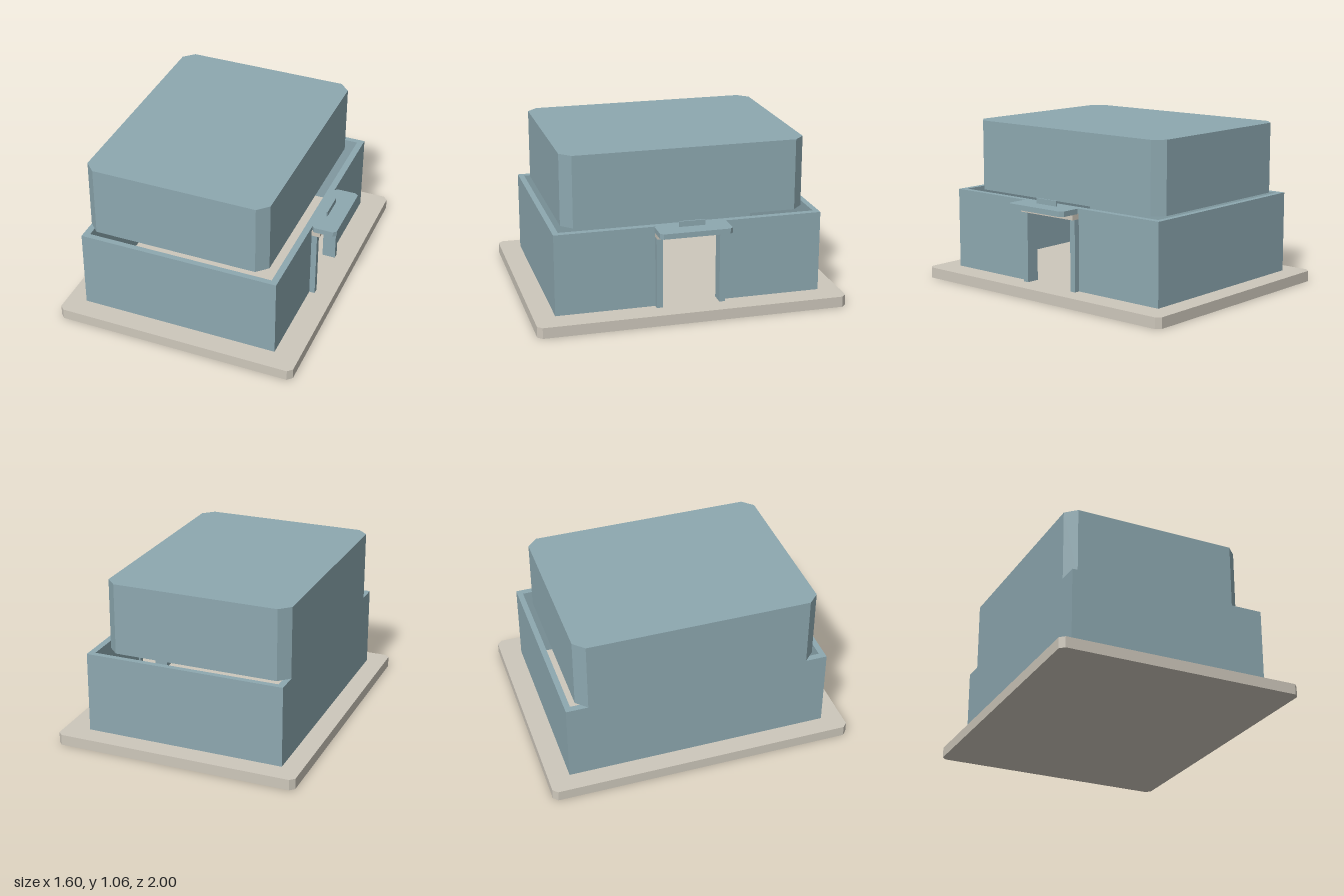
import * as THREE from 'three';

export function createModel() {
  const model = new THREE.Group();
  model.name = 'building';

  const teal = new THREE.MeshStandardMaterial({ color: 0x8da8b0 });
  teal.name = 'blue grey wall';
  const stone = new THREE.MeshStandardMaterial({ color: 0xcdc7bb });
  stone.name = 'warm stone';

  const add = (name, geometry, material) => {
    const mesh = new THREE.Mesh(geometry, material);
    mesh.name = name;
    model.add(mesh);
    return mesh;
  };

  // Box given by its limits on each axis
  const box = (name, material, [x0, x1], [y0, y1], [z0, z1]) =>
    add(name, new THREE.BoxGeometry(x1 - x0, y1 - y0, z1 - z0), material)
      .position.set((x0 + x1) / 2, (y0 + y1) / 2, (z0 + z1) / 2);

  // Upright prism from a plan outline, listed as [x, z]
  const prism = (name, material, plan, y0, y1) => {
    const shape = new THREE.Shape(plan.map(([x, z]) => new THREE.Vector2(x, -z)));
    const geometry = new THREE.ExtrudeGeometry(shape, { depth: y1 - y0, bevelEnabled: false });
    geometry.rotateX(-Math.PI / 2).translate(0, y0, 0);
    return add(name, geometry, material);
  };

  // Rectangle plan with cut corners
  const cutRect = (x0, x1, z, c) => [
    [x0 + c, -z], [x1 - c, -z], [x1, -z + c], [x1, z - c],
    [x1 - c, z], [x0 + c, z], [x0, z - c], [x0, -z + c],
  ];

  const floorY = 0.07, wallTop = 0.597, doorTop = 0.53, doorHalf = 0.22;

  // Ground slab
  prism('baseSlab', stone, cutRect(-0.8, 0.8, 1, 0.03), 0, floorY);

  // Lower walls: a hollow ring broken by the doorway on the +x side
  prism('lowerWalls', teal, [
    [0.637, doorHalf], [0.637, 0.862], [-0.672, 0.862], [-0.672, -0.862],
    [0.637, -0.862], [0.637, -doorHalf], [0.595, -doorHalf], [0.595, -0.825],
    [-0.63, -0.825], [-0.63, 0.825], [0.595, 0.825], [0.595, doorHalf],
  ], floorY, wallTop);
  box('doorHeader', teal, [0.595, 0.637], [doorTop, wallTop], [-doorHalf, doorHalf]);

  // Upper storey, flush with the left-hand wall
  prism('upperStorey', teal, cutRect(-0.672, 0.54, 0.788, 0.068), wallTop, 1.06);

  // Door frame
  for (const [name, s] of [['frontJamb', 1], ['backJamb', -1]]) {
    const z = [0.185 * s, 0.224 * s].sort((a, b) => a - b);
    box(name, teal, [0.586, 0.674], [floorY, doorTop], z);
  }
  box('lintel', stone, [0.63, 0.692], [doorTop, 0.566], [-0.224, 0.224]);

  // Canopy with its sign and the strip beneath it
  prism('canopy', teal, cutRect(0.635, 0.8, 0.232, 0.02), 0.566, 0.6);
  box('canopySign', teal, [0.682, 0.692], [0.6, 0.635], [-0.082, 0.085]);
  box('canopyStrip', teal, [0.708, 0.725], [0.557, 0.566], [-0.175, 0.175]);

  return model;
}
